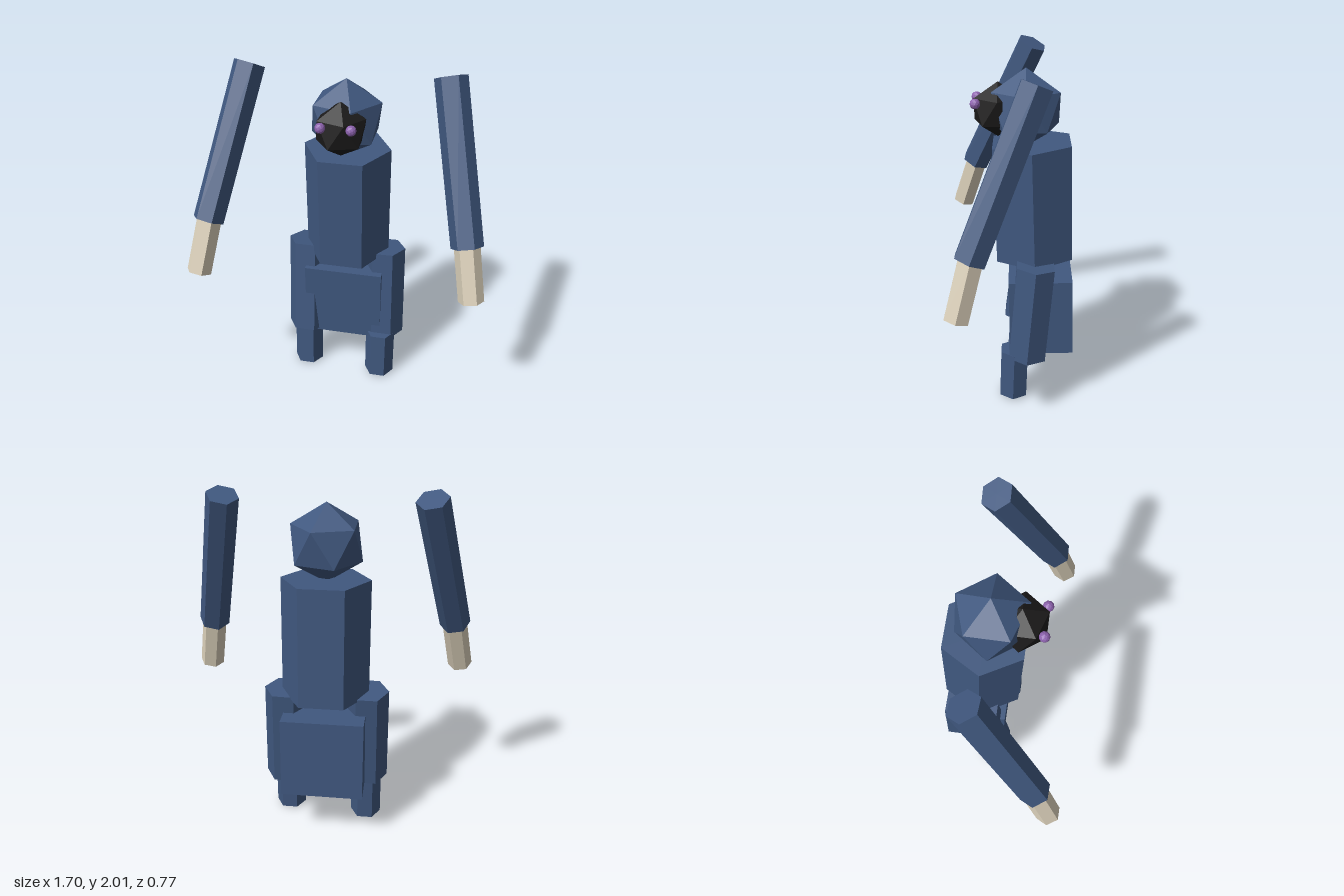
import * as THREE from 'three';

const material = (name, color) => {
  const m = new THREE.MeshStandardMaterial({ color, flatShading: true });
  m.name = name;
  return m;
};

export function createModel() {
  const model = new THREE.Group();
  const blue = material('blue cloth', 0x40587f);
  const black = material('black mask', 0x1c1b1b);
  const bone = material('pale hands', 0xdcd1bb);
  const purple = material('purple eyes', 0x8d62ae);

  const add = (name, geometry, mat, position) => {
    const mesh = new THREE.Mesh(geometry, mat);
    mesh.name = name;
    mesh.position.set(...position);
    model.add(mesh);
    return mesh;
  };

  // Six-sided prism between two points, with corners facing left and right
  const prism = (name, bottom, top, radius, mat) => {
    const a = new THREE.Vector3(...bottom);
    const b = new THREE.Vector3(...top);
    const geometry = new THREE.CylinderGeometry(radius, radius, a.distanceTo(b), 6);
    geometry.rotateY(Math.PI / 6);
    const middle = a.clone().add(b).multiplyScalar(0.5);
    const mesh = add(name, geometry, mat, middle.toArray());
    mesh.quaternion.setFromUnitVectors(new THREE.Vector3(0, 1, 0), b.sub(a).normalize());
  };

  // Twenty-sided ball standing on a corner
  const ball = (name, radius, mat, position) => {
    const geometry = new THREE.IcosahedronGeometry(radius, 0);
    geometry.rotateZ(-Math.atan(2 / (1 + Math.sqrt(5))));
    add(name, geometry, mat, position);
  };

  // Body
  prism('torso', [0, 0.85, -0.15], [0, 1.53, -0.125], 0.25, blue);
  const pelvis = add('pelvis', new THREE.BoxGeometry(0.47, 0.47, 0.367), blue, [-0.003, 0.523, -0.19]);
  pelvis.rotation.x = 0.03;

  // Head, mask and eyes
  ball('head', 0.22, blue, [0, 1.72, -0.09]);
  ball('mask', 0.153, black, [0, 1.712, 0.062]);
  for (const [name, x] of [['rightEye', -0.084], ['leftEye', 0.08]]) {
    add(name, new THREE.IcosahedronGeometry(0.029, 1), purple, [x, 1.76, 0.182]);
  }

  // Right arm and leg
  prism('rightSleeve', [-0.728, 1.167, 0.235], [-0.55, 1.973, -0.13], 0.09, blue);
  prism('rightHand', [-0.78, 0.868, 0.325], [-0.724, 1.18, 0.225], 0.072, bone);
  prism('rightThigh', [-0.243, 0.288, -0.078], [-0.243, 0.88, -0.15], 0.122, blue);
  prism('rightShin', [-0.24, 0.01, -0.068], [-0.24, 0.32, -0.087], 0.09, blue);

  // Left arm and leg
  prism('leftSleeve', [0.723, 1.14, 0.18], [0.545, 1.972, -0.14], 0.09, blue);
  prism('leftHand', [0.775, 0.838, 0.25], [0.719, 1.16, 0.172], 0.072, bone);
  prism('leftThigh', [0.242, 0.286, -0.11], [0.23, 0.872, -0.155], 0.122, blue);
  prism('leftShin', [0.232, 0.018, -0.03], [0.232, 0.32, -0.038], 0.09, blue);

  return model;
}
